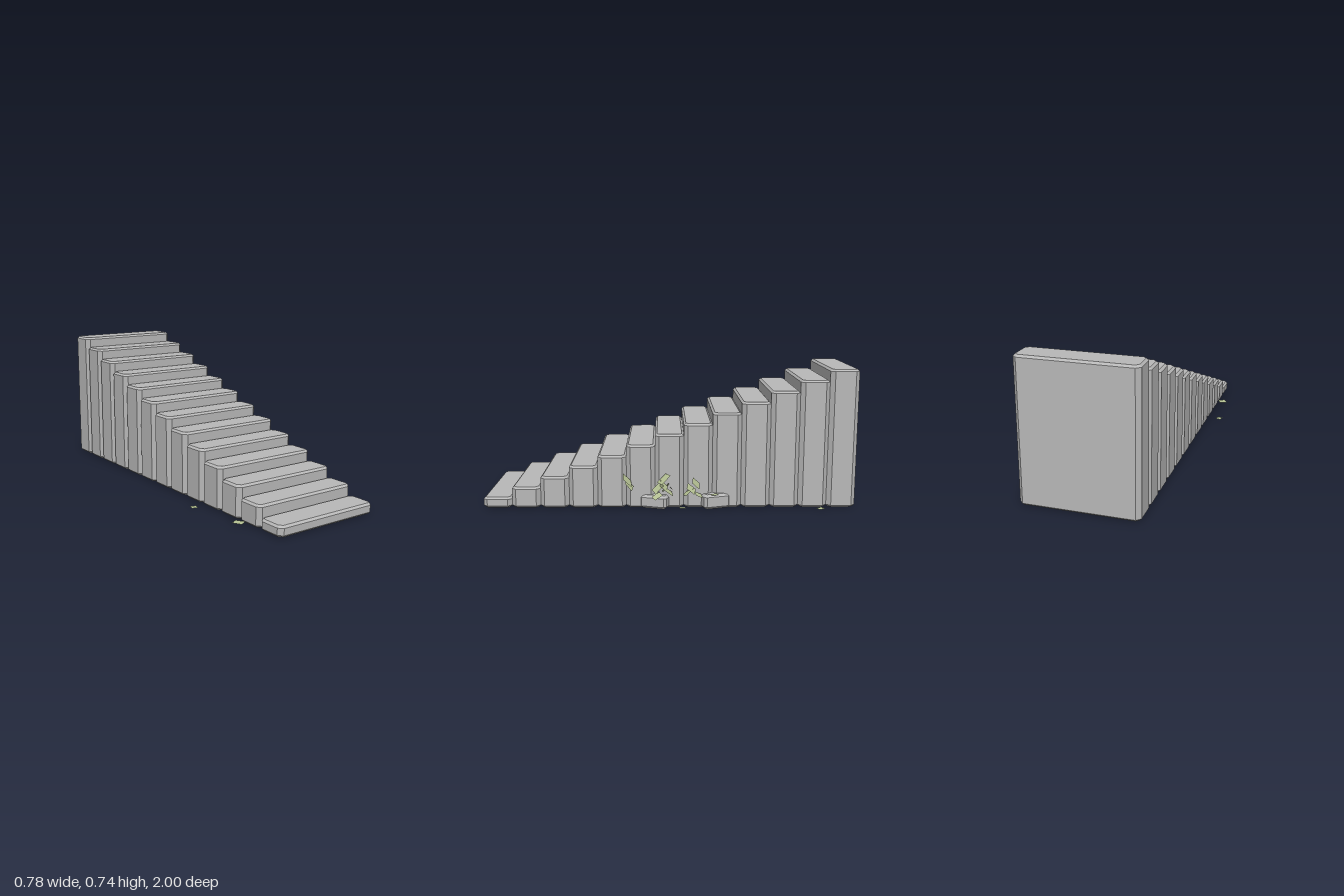
import * as THREE from 'three';

const stone = new THREE.MeshStandardMaterial({ color: 0xb8b8b8 });
stone.name = 'grey stone';
const leafGreen = new THREE.MeshStandardMaterial({ color: 0xb6c294, side: THREE.DoubleSide });
leafGreen.name = 'pale leaf green';

// Block standing on y = 0 with cut corners and bevelled top and bottom edges
function chamferedBlock(name, width, height, depth, cut, bevel) {
  const w = width / 2 - bevel, d = depth / 2 - bevel;
  const shape = new THREE.Shape([
    [w - cut, -d], [w, -d + cut], [w, d - cut], [w - cut, d],
    [-w + cut, d], [-w, d - cut], [-w, -d + cut], [-w + cut, -d],
  ].map(([x, y]) => new THREE.Vector2(x, y)));
  const geometry = new THREE.ExtrudeGeometry(shape, {
    depth: height - 2 * bevel, bevelThickness: bevel, bevelSize: bevel, bevelSegments: 1,
  });
  geometry.rotateX(-Math.PI / 2);
  geometry.translate(0, bevel, 0);
  const mesh = new THREE.Mesh(geometry, stone);
  mesh.name = name;
  return mesh;
}

// Flat four-sided leaf, lying level before it is tilted
function makeLeaf(x, y, z, size, tilt, turn, roll) {
  const geometry = new THREE.PlaneGeometry(size, size * 1.15);
  geometry.rotateX(-Math.PI / 2);
  const leaf = new THREE.Mesh(geometry, leafGreen);
  leaf.name = 'leaf';
  leaf.position.set(x, y, z);
  leaf.rotation.set(tilt, turn, roll);
  return leaf;
}

// Group of leaves given as x, y, z, size, tilt; those further out droop more
function makeSprig(name, leaves) {
  const sprig = new THREE.Group();
  sprig.name = name;
  leaves.forEach(([x, y, z, size, tilt], i) => {
    const turn = i % 2 ? 0.15 : 0.35;
    const roll = (0.335 - x) * 20;
    sprig.add(makeLeaf(x, y, z, size, tilt, turn, roll));
  });
  return sprig;
}

export function createModel() {
  const model = new THREE.Group();
  model.name = 'stoneStairs';

  // Thirteen full-height steps rising towards the back
  const count = 13, run = 2 / count, rise = 0.0573;
  const stairs = new THREE.Group();
  stairs.name = 'stairs';
  for (let i = 0; i < count; i++) {
    const step = chamferedBlock('step' + (i + 1), 0.608, rise * (i + 1), run, 0.016, 0.011);
    step.position.set(-0.006, 0, 1 - run * (i + 0.5));
    stairs.add(step);
  }
  model.add(stairs);

  // Two loose stones leaning out of the left side
  for (const [name, z, turn, height] of [['frontStone', 0.075, -0.31, 0.073], ['backStone', -0.243, 0.33, 0.08]]) {
    const rock = chamferedBlock(name, 0.1, height, 0.15, 0.006, 0.013);
    rock.position.set(0.276, 0, z);
    rock.rotation.y = turn;
    model.add(rock);
  }

  // Sprigs growing among the stones
  model.add(makeSprig('frontSprig', [
    [0.35, 0.172, 0.03, 0.058, 0.75],
    [0.357, 0.125, 0.062, 0.052, 0.8],
    [0.355, 0.135, 0.03, 0.048, -0.8],
    [0.318, 0.118, 0.02, 0.045, 0.9],
    [0.345, 0.1, 0, 0.04, -0.7],
    [0.325, 0.115, -0.01, 0.042, -0.9],
    [0.355, 0.08, 0.065, 0.042, 0.5],
  ]));
  model.add(makeSprig('backSprig', [
    [0.355, 0.15, -0.14, 0.048, -0.8],
    [0.357, 0.12, -0.115, 0.048, -0.7],
    [0.34, 0.1, -0.1, 0.048, 0.7],
    [0.318, 0.09, -0.09, 0.034, 0.8],
    [0.345, 0.085, -0.155, 0.038, -0.5],
    [0.335, 0.083, -0.24, 0.033, 0.05],
  ]));

  // Pair of leaves in front of the sprigs
  model.add(makeSprig('looseLeaves', [
    [0.345, 0.165, 0.223, 0.058, -0.83],
    [0.35, 0.14, 0.212, 0.048, -0.9],
  ]));

  // Leaves lying flat on the ground: x, z, size, turn
  const fallen = new THREE.Group();
  fallen.name = 'fallenLeaves';
  for (const [x, z, size, turn] of [
    [0.325, -0.81, 0.033, 0.5], [0.31, -0.07, 0.028, 0.3],
    [-0.375, 0.41, 0.031, -0.3], [-0.33, 0.72, 0.045, 0.5],
  ]) {
    fallen.add(makeLeaf(x, 0.003, z, size, 0, turn, 0));
  }
  model.add(fallen);
  return model;
}
